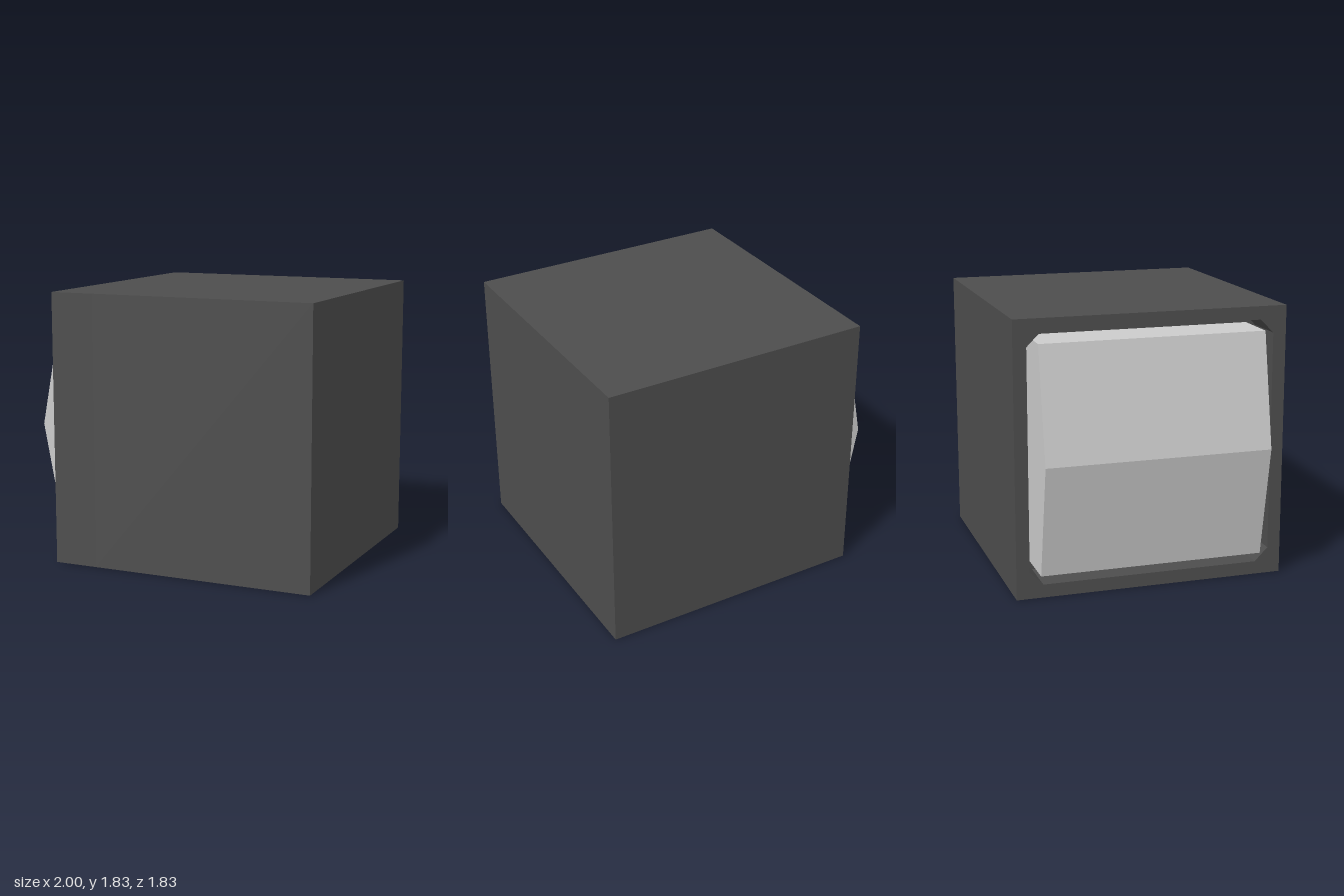
import * as THREE from 'three';

const SIDE = 1.826, HALF = SIDE / 2;
const FACE_X = -0.826;      // open side of the housing
const DEPTH = 0.3;          // depth of the recess
const OPENING = 0.825, CHAMFER = 0.09;

// Square outline around (0, HALF) with optional cut corners
function outline(path, h, c = 0) {
  const corners = [[1, -1], [1, 1], [-1, 1], [-1, -1]];
  const points = [];
  corners.forEach(([x, y], i) => {
    if (!c) return points.push(new THREE.Vector2(x * h, HALF + y * h));
    const pair = [
      new THREE.Vector2(x * (h - c), HALF + y * h),
      new THREE.Vector2(x * h, HALF + y * (h - c)),
    ];
    points.push(...(i % 2 ? pair.reverse() : pair));
  });
  return path.setFromPoints(points);
}

export function createModel() {
  const group = new THREE.Group();
  const dark = new THREE.MeshStandardMaterial({ color: 0x4d4d4d });
  const grey = new THREE.MeshStandardMaterial({ color: 0xcccccc });

  const add = (name, geometry, material) => {
    const mesh = new THREE.Mesh(geometry, material);
    mesh.name = name;
    group.add(mesh);
    return mesh;
  };

  // Solid block behind the recess
  const bodyLength = SIDE - DEPTH;
  add('housingBody', new THREE.BoxGeometry(bodyLength, SIDE, SIDE), dark)
    .position.set(1 - bodyLength / 2, HALF, 0);

  // Frame around the recess, its opening has cut corners
  const frame = outline(new THREE.Shape(), HALF);
  frame.holes.push(outline(new THREE.Path(), OPENING, CHAMFER));
  const frameGeometry = new THREE.ExtrudeGeometry(frame, { depth: DEPTH, bevelEnabled: false });
  frameGeometry.rotateY(-Math.PI / 2).translate(FACE_X + DEPTH, 0, 0);
  add('housingFrame', frameGeometry, dark);

  // Rocker with a ridge across its middle
  const half = 0.757, shoulder = -0.855, back = FACE_X + DEPTH;
  const profile = new THREE.Shape([
    [back, HALF - half], [back, HALF + half], [shoulder, HALF + half],
    [-1, HALF], [shoulder, HALF - half],
  ].map(([x, y]) => new THREE.Vector2(x, y)));
  const rocker = new THREE.ExtrudeGeometry(profile, { depth: half * 2, bevelEnabled: false });
  add('rocker', rocker.translate(0, 0, -half), grey);

  return group;
}
